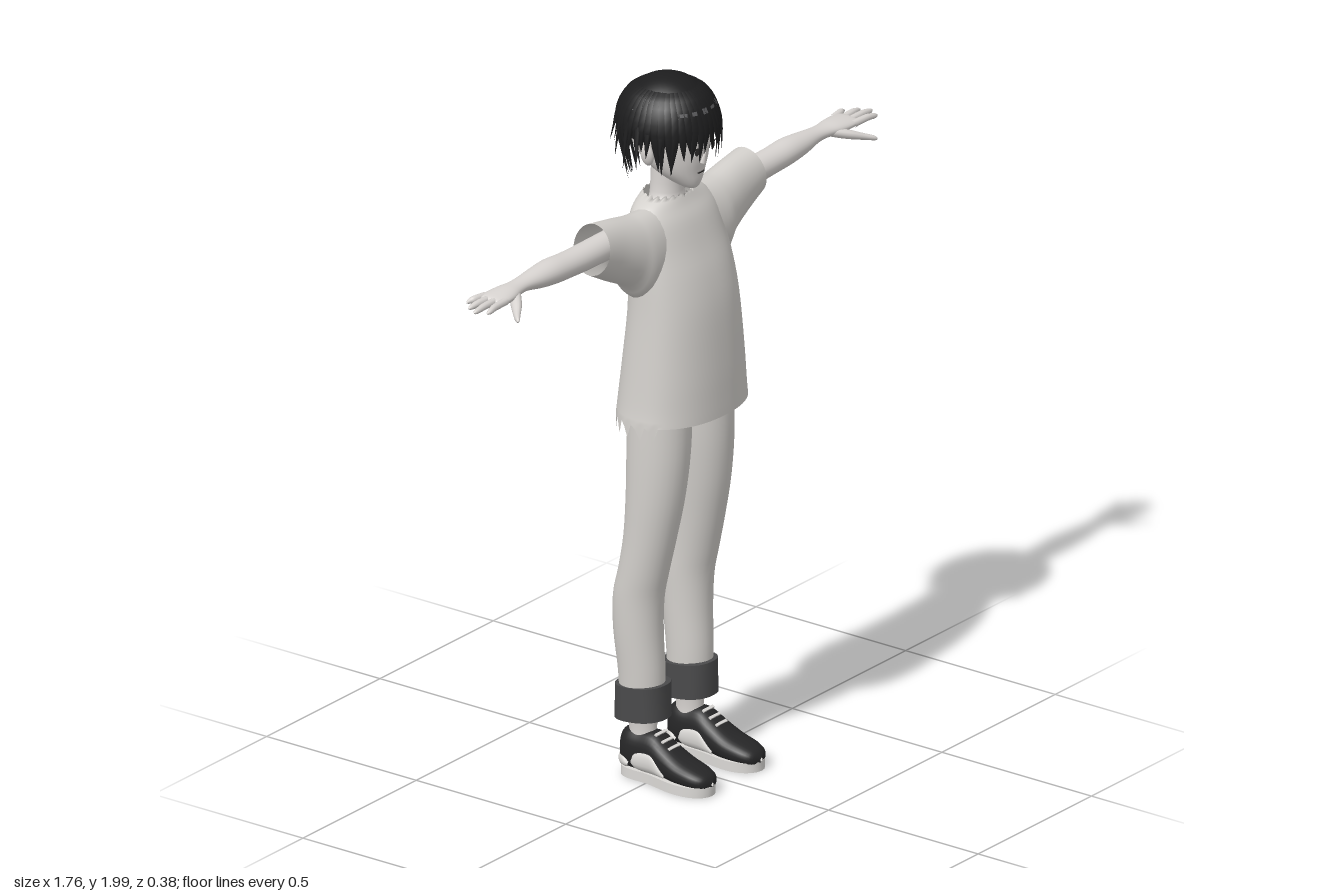
import * as THREE from 'three';
import { mergeGeometries, toCreasedNormals } from 'three/addons/utils/BufferGeometryUtils.js';

const mat = (name, color, side = THREE.FrontSide) => {
  const m = new THREE.MeshStandardMaterial({ color, side });
  m.name = name;
  return m;
};
const skin = mat('skin', 0xd8d4d1);
const cloth = mat('pale cloth', 0xd2cfcb, THREE.DoubleSide);
const hairMat = mat('black hair', 0x1d1d1e, THREE.DoubleSide);
const shine = mat('hair shine', 0x58585a, THREE.DoubleSide);
const cuffMat = mat('charcoal cuff', 0x4a4a4b);
const shoeMat = mat('black shoe', 0x262627);
const soleMat = mat('white rubber', 0xdad8d5);
const ink = mat('dark line', 0x2c2a2a, THREE.DoubleSide);
const eyeWhite = mat('eye white', 0xf2f2f2, THREE.DoubleSide);

// Closed-loop rings of points joined into a smooth surface
function skinRings(rings) {
  const n = rings[0].length, idx = [];
  for (let i = 0; i < rings.length - 1; i++) {
    for (let j = 0; j < n; j++) {
      const a = i * n + j, b = i * n + (j + 1) % n;
      idx.push(a, b, b + n, a, b + n, a + n);
    }
  }
  const g = new THREE.BufferGeometry().setFromPoints(rings.flat());
  g.setIndex(idx);
  g.computeVertexNormals();
  return g;
}

const spline = (a, b, c, d, t) =>
  b + 0.5 * t * (c - a + t * (2 * a - 5 * b + 4 * c - d + t * (3 * (b - c) + d - a)));

// Rows [position, centre1, centre2, radius1, radius2] lofted along an axis
function loft(axis, rows, { seg = 28, sub = 4, pow = 1, bend } = {}) {
  const last = rows.length - 1, rings = [];
  for (let k = 0; k <= last * sub; k++) {
    const i = Math.min(Math.floor(k / sub), last - 1), t = k / sub - i;
    const R = [i - 1, i, i + 1, i + 2].map(q => rows[Math.min(Math.max(q, 0), last)]);
    const [s, c1, c2, r1, r2] = R[1].map((_, m) => spline(R[0][m], R[1][m], R[2][m], R[3][m], t));
    const ring = [];
    for (let j = 0; j < seg; j++) {
      const a = j / seg * Math.PI * 2, c = Math.cos(a), d = Math.sin(a);
      const p = c1 + r1 * Math.sign(c) * Math.abs(c) ** pow;
      const w = r2 * Math.sign(d) * Math.abs(d) ** pow;
      const v = axis === 'y' ? new THREE.Vector3(p, s, c2 - w)
        : axis === 'x' ? new THREE.Vector3(s, p, c2 + w) : new THREE.Vector3(p, c2 + w, s);
      if (bend) bend(v, j, k, last * sub);
      ring.push(v);
    }
    rings.push(ring);
  }
  return skinRings(rings);
}

function mirrored(g) {
  const m = g.clone().scale(-1, 1, 1);
  if (!m.index) m.setIndex([...Array(m.attributes.position.count).keys()]);
  const ix = m.index;
  for (let i = 0; i < ix.count; i += 3) {
    const t = ix.getX(i);
    ix.setX(i, ix.getX(i + 1));
    ix.setX(i + 1, t);
  }
  // keep the reflected normals from scale()
  return m;
}

export function createModel() {
  const model = new THREE.Group();
  model.name = 'figure';
  const add = (name, g, m) => {
    const o = new THREE.Mesh(g, m);
    o.name = name;
    model.add(o);
  };
  const pair = (name, g, m) => {
    add(name + 'Left', g, m);
    add(name + 'Right', mirrored(g), m);
  };
  let seed = 7;
  const rnd = () => (seed = (seed * 16807) % 2147483647) / 2147483647;

  // Shirt body: ragged hem at sides and back, ragged neckline
  add('shirtBody', loft('y', [
    [1.055, 0, .01, .207, .145], [1.1, 0, .011, .2, .143], [1.2, 0, .014, .19, .136],
    [1.35, 0, .015, .177, .122], [1.45, 0, .005, .172, .11], [1.53, 0, -.01, .168, .095],
    [1.6, 0, -.022, .158, .08], [1.64, 0, -.032, .13, .066], [1.668, 0, -.036, .078, .056],
  ], {
    seg: 76, pow: .9, bend: (v, j, k, end) => {
      if (k === 0 && v.z < .07) v.y += j % 3 ? .012 - (j % 3) * .012 : -.04;
      if (k === end) { v.y -= (j % 4 < 2 ? .03 : 0) * (v.z > -.04 ? 1 : .2); }
    },
  }), cloth);

  // Sleeves, with the open end slanting outward at the bottom
  pair('sleeve', loft('x', [
    [.1, 1.52, -.022, .125, .075], [.16, 1.525, -.023, .12, .078], [.2, 1.55, -.026, .098, .072],
    [.27, 1.575, -.029, .085, .064], [.345, 1.6, -.03, .07, .061],
  ], { bend: (v, j, k, end) => { v.x -= (v.y - 1.6) * .18 * k / end; } }), cloth);

  // Arms and hands
  pair('arm', loft('x', [
    [.12, 1.59, -.035, .04, .04], [.36, 1.59, -.034, .037, .04], [.45, 1.592, -.034, .035, .04],
    [.52, 1.595, -.036, .035, .041], [.58, 1.597, -.036, .029, .036], [.64, 1.6, -.036, .02, .028],
    [.68, 1.6, -.035, .018, .029], [.72, 1.599, -.034, .019, .038], [.76, 1.599, -.034, .016, .042],
    [.79, 1.599, -.034, .011, .04], [.797, 1.599, -.034, .001, .03],
  ]), skin);
  [[-.066, -.078, .835], [-.044, -.049, .865], [-.022, -.02, .88], [.001, .01, .862]].forEach(([z0, z1, tip], i) =>
    pair('finger' + (i + 1), loft('x', [
      [.765, 1.6, z0, .01, .011], [(tip + .78) / 2, 1.602, (z0 + z1) / 2, .0095, .01],
      [tip - .012, 1.599, z1, .007, .007], [tip, 1.598, z1, .0005, .0005],
    ], { seg: 10 }), skin));
  pair('thumb', loft('x', [
    [.69, 1.596, -.022, .012, .016], [.73, 1.585, .008, .014, .02], [.765, 1.574, .036, .01, .014],
    [.788, 1.567, .056, .007, .008], [.794, 1.565, .061, .0005, .0005],
  ], { seg: 12 }), skin);

  // Trousers
  add('hips', loft('y', [
    [1.025, 0, .005, .03, .04], [1.04, 0, .005, .1, .075], [1.08, 0, .005, .165, .09], [1.16, 0, .005, .16, .09],
  ]), cloth);
  pair('trouserLeg', loft('y', [
    [.2, .105, -.043, .056, .064], [.3, .106, -.044, .059, .066], [.42, .109, -.053, .063, .07],
    [.52, .11, -.051, .065, .072], [.6, .11, -.034, .066, .071], [.7, .107, -.015, .069, .074],
    [.82, .102, -.001, .075, .083], [.95, .096, .005, .08, .09], [1.1, .09, .006, .082, .09],
  ]), cloth);
  pair('trouserCuff', toCreasedNormals(loft('y', [
    [.195, .103, -.042, .04, .045], [.172, .103, -.042, .05, .06], [.172, .103, -.042, .064, .078],
    [.27, .103, -.042, .064, .076], [.272, .103, -.042, .052, .06],
  ], { sub: 1, pow: .85, bend: v => { v.y += (v.z + .042) * .1; } }), .6), cuffMat);
  pair('ankle', loft('y', [
    [.08, .103, -.04, .036, .045], [.14, .103, -.042, .032, .04], [.23, .103, -.042, .042, .048],
  ]), skin);

  // Shoes
  const outline = new THREE.Shape();
  outline.moveTo(.105, .102);
  outline.bezierCurveTo(.15, .102, .15, .06, .147, .01);
  outline.bezierCurveTo(.15, -.04, .17, -.08, .163, -.13);
  outline.bezierCurveTo(.155, -.215, .065, -.215, .053, -.13);
  outline.bezierCurveTo(.048, -.08, .066, -.04, .063, .01);
  outline.bezierCurveTo(.06, .06, .06, .102, .105, .102);
  const sole = new THREE.ExtrudeGeometry(outline, { depth: .028, bevelEnabled: false, curveSegments: 10 });
  pair('shoeSole', toCreasedNormals(sole.rotateX(-Math.PI / 2), .7), soleMat);
  pair('shoeUpper', loft('z', [
    [-.1, .105, .07, .004, .02], [-.096, .105, .074, .03, .052], [-.07, .105, .078, .042, .06],
    [-.03, .105, .078, .044, .06], [.01, .105, .078, .046, .06], [.05, .106, .066, .05, .048],
    [.1, .107, .05, .053, .036], [.15, .108, .042, .049, .028], [.182, .108, .036, .034, .02],
    [.194, .108, .032, .004, .006],
  ], { pow: .85 }), shoeMat);
  pair('shoeSidePanel', loft('z', [
    [-.05, .105, .05, .043, .015], [-.035, .105, .058, .049, .035], [.015, .105, .062, .051, .042],
    [.045, .106, .048, .053, .025], [.065, .106, .035, .05, .01],
  ], { pow: .8 }), soleMat);
  pair('shoeHeelPanel', loft('z', [
    [-.104, .105, .045, .004, .012], [-.1, .105, .047, .03, .022], [-.075, .105, .045, .045, .022], [-.06, .105, .04, .044, .01],
  ], { pow: .85 }), soleMat);
  for (let i = 0; i < 3; i++) {
    const lace = new THREE.BoxGeometry(.045, .005, .008).rotateX(.45);
    pair('shoeLace' + (i + 1), lace.translate(.105, .136 - i * .015, .018 + i * .022), soleMat);
  }

  // Neck, head and face
  add('neck', loft('y', [
    [1.57, 0, -.03, .1, .06], [1.63, 0, -.034, .068, .052], [1.665, 0, -.04, .047, .045], [1.78, 0, -.035, .046, .046],
  ]), skin);
  add('head', loft('y', [
    [1.684, 0, .038, .003, .006], [1.69, 0, .034, .02, .026], [1.71, 0, .014, .043, .055],
    [1.74, 0, -.006, .067, .08], [1.78, 0, -.024, .083, .106], [1.83, 0, -.032, .092, .118],
    [1.9, 0, -.036, .09, .115], [1.955, 0, -.036, .05, .065], [1.97, 0, -.036, .003, .003],
  ]), skin);
  add('nose', new THREE.ConeGeometry(.011, .035, 10).rotateX(.35).translate(0, 1.785, .085), skin);
  add('mouth', new THREE.BoxGeometry(.026, .003, .006).translate(0, 1.737, .073), ink);
  pair('ear', new THREE.SphereGeometry(1, 14, 10).scale(.014, .032, .02).rotateZ(-.15).translate(.094, 1.79, -.035), skin);
  const disc = (w, h, y, z) => new THREE.CircleGeometry(1, 16).scale(w, h, 1).rotateY(.32).translate(.036, y, z);
  pair('eye', disc(.018, .01, 1.806, .086), eyeWhite);
  pair('iris', disc(.008, .009, 1.806, .088), ink);
  pair('eyelid', disc(.021, .003, 1.816, .088), ink);

  // Hair cap tilted down at the back
  const C = new THREE.Vector3(0, 1.86, -.036);
  add('hairCap', new THREE.SphereGeometry(1, 36, 16, 0, Math.PI * 2, 0, Math.PI * .53)
    .rotateX(-.3).scale(.127, .134, .136).translate(C.x, C.y, C.z), hairMat);

  // Hair locks following the skull, then tapering to a loose tip
  function lock(a, lift, tipY, tipR, width) {
    const n = new THREE.Vector3(Math.sin(a), 0, Math.cos(a));
    const side = new THREE.Vector3(Math.cos(a), 0, -Math.sin(a));
    const at = (e, k) => new THREE.Vector3(n.x * Math.cos(e) * .127, Math.sin(e) * .134, n.z * Math.cos(e) * .136)
      .multiplyScalar(k).add(C);
    const tip = C.clone().addScaledVector(n, tipR).addScaledVector(side, (rnd() - .5) * .03).setY(tipY);
    const path = new THREE.CatmullRomCurve3([at(lift, .97), at(lift * .6, 1.02), at(.12, 1.05), tip]);
    const rings = [];
    for (let i = 0; i <= 10; i++) {
      const t = i / 10, c = path.getPoint(t);
      const out = new THREE.Vector3().crossVectors(path.getTangent(t), side).normalize();
      const w = width * Math.min(1, .35 + t * 2) * (1 - t ** 3) + .0005;
      rings.push([...Array(6).keys()].map(j => c.clone()
        .addScaledVector(side, w * Math.cos(j * Math.PI / 3))
        .addScaledVector(out, w * .3 * Math.sin(j * Math.PI / 3))));
    }
    return skinRings(rings);
  }
  const locks = [];
  for (let i = 0; i < 46; i++) {
    const a = (i / 46 * 2 - 1) * Math.PI, b = Math.abs(a);
    const [y, r] = b < .75 ? [1.8, .143] : b < 1.25 ? [1.755, .128] : b < 1.85 ? [1.81, .132] : b < 2.3 ? [1.735, .12] : [1.7, .105];
    locks.push(lock(a, 1.1, y + (rnd() - .5) * .03, r + (rnd() - .5) * .012, .019));
    if (b > 1.6 && i % 2) locks.push(lock(a + .05, .9, 1.755 + rnd() * .06, .148 + rnd() * .012, .016));
    if (b > .6 && b < 1.6 && i % 2) locks.push(lock(a, .9, 1.79 + rnd() * .03, .142, .014));
  }
  add('hairLocks', mergeGeometries(locks), hairMat);

  // Broken band of shine around the hair
  const glints = [];
  for (let i = 0; i < 22; i++) {
    const start = i / 22 * Math.PI * 2;
    const h = .05 + rnd() * .09;
    glints.push(new THREE.SphereGeometry(1, 3, 2, start, .1 + rnd() * .1, 1.08 - h / 2, h)
      .scale(.138, .146, .148).translate(C.x, C.y - .008, C.z));
  }
  add('hairShine', mergeGeometries(glints), shine);

  return model;
}
